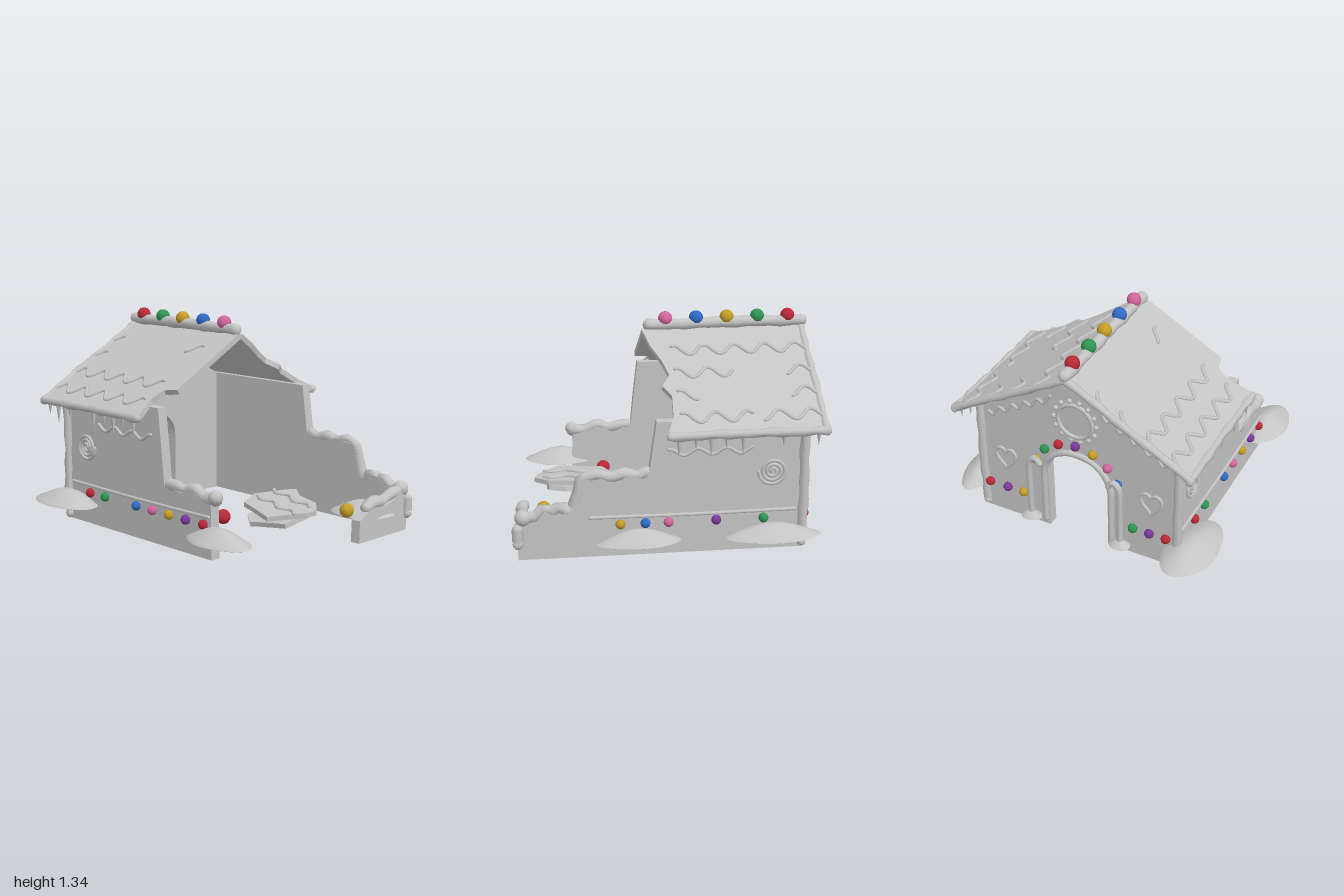
import * as THREE from 'three';
import { mergeGeometries } from 'three/addons/utils/BufferGeometryUtils.js';

const mat = (name, color) => {
  const m = new THREE.MeshStandardMaterial({ color });
  m.name = name;
  return m;
};
const V = (p) => new THREE.Vector3(p[0], p[1], p[2] || 0);

export function createModel() {
  const root = new THREE.Group();
  root.name = 'brokenCandyHouse';
  const grey = mat('paleGrey', 0xc4c4c4);
  const C = {
    red: mat('red', 0xb82a36), green: mat('green', 0x2f9452), yellow: mat('yellow', 0xc49c28),
    blue: mat('blue', 0x2f69c4), pink: mat('pink', 0xd0669c), purple: mat('purple', 0x7a379c),
  };
  const add = (parent, name, geo, material = grey) => {
    const m = new THREE.Mesh(geo, material);
    m.name = name;
    parent.add(m);
    return m;
  };
  const group = (parent, name) => {
    const g = new THREE.Group();
    g.name = name;
    parent.add(g);
    return g;
  };
  // round-ended icing rope, slightly lumpy when lump > 0
  const icing = (parent, name, pts, r, lump = 0, sides = 8) => {
    const curve = new THREE.CatmullRomCurve3(pts.map(V), false, 'catmullrom', 0.35);
    const seg = Math.max(pts.length * 2, Math.ceil(curve.getLength() / (r * 1.3)));
    const parts = [new THREE.TubeGeometry(curve, seg, r, sides)];
    for (const t of [0, 1]) {
      const s = new THREE.SphereGeometry(r, sides, 6);
      const p = curve.getPoint(t);
      parts.push(s.translate(p.x, p.y, p.z));
    }
    const geo = mergeGeometries(parts);
    const pos = geo.attributes.position, n = geo.attributes.normal;
    for (let i = 0; lump && i < pos.count; i++) {
      const x = pos.getX(i), y = pos.getY(i), z = pos.getZ(i);
      const d = r * lump * Math.sin(31 * x + 23 * y + 27 * z) * Math.cos(11 * (x - y + z));
      pos.setXYZ(i, x + n.getX(i) * d, y + n.getY(i) * d, z + n.getZ(i) * d);
    }
    return add(parent, name, geo);
  };
  const candy = (parent, color, x, y, z, r = 0.03) =>
    add(parent, color + 'Candy', new THREE.SphereGeometry(r, 16, 12), C[color]).position.set(x, y, z);
  const slab = (pts, depth, hole) => {
    const s = new THREE.Shape(pts.map((p) => new THREE.Vector2(p[0], p[1])));
    if (hole) s.holes.push(hole);
    return new THREE.ExtrudeGeometry(s, { depth, bevelEnabled: false, curveSegments: 20 });
  };
  const wave = (x0, x1, y, z, amp = 0.04, period = 0.19) => {
    const n = Math.max(4, Math.ceil((x1 - x0) / period * 8));
    return Array.from({ length: n + 1 }, (_, i) => {
      const x = x0 + (x1 - x0) * i / n;
      return [x, y + amp * Math.sin((x + 0.85) / period * Math.PI * 2), z];
    });
  };
  const spiral = (cx, cy, z) => Array.from({ length: 41 }, (_, i) => {
    const a = i / 40 * Math.PI * 6, r = 0.012 + 0.075 * i / 40;
    return [cx + r * Math.cos(a), cy + r * Math.sin(a), z];
  });

  // long walls, broken down towards the open end
  const frontWall = [[-0.78, 0], [0.57, 0], [0.565, 0.33], [0.48, 0.35], [0.4, 0.38], [0.3, 0.36],
    [0.16, 0.38], [0.14, 0.58], [0.11, 0.84], [-0.78, 0.84]];
  const backWall = [[-0.78, 0], [0.95, 0], [0.95, 0.26], [0.83, 0.27], [0.77, 0.32], [0.7, 0.33], [0.66, 0.28],
    [0.61, 0.3], [0.57, 0.5], [0.42, 0.52], [0.32, 0.5], [0.165, 0.52], [0.12, 0.84], [-0.78, 0.84]];
  add(root, 'frontWall', slab(frontWall, 0.065)).position.z = 0.605;
  add(root, 'backWall', slab(backWall, 0.065)).position.z = -0.67;
  icing(root, 'frontBrokenIcing', [[0.18, 0.385, 0.637], [0.25, 0.38, 0.637], [0.32, 0.37, 0.637],
    [0.4, 0.39, 0.637], [0.48, 0.355, 0.637], [0.57, 0.36, 0.637]], 0.035, 0.25, 10);
  icing(root, 'backBrokenIcing', [[0.18, 0.52, -0.64], [0.24, 0.5, -0.64], [0.32, 0.515, -0.64], [0.4, 0.5, -0.64],
    [0.48, 0.52, -0.64], [0.565, 0.49, -0.64], [0.59, 0.4, -0.64], [0.62, 0.3, -0.64], [0.66, 0.29, -0.64],
    [0.7, 0.33, -0.64], [0.75, 0.3, -0.64], [0.79, 0.32, -0.64], [0.85, 0.27, -0.64], [0.92, 0.27, -0.64]], 0.035, 0.25, 10);
  add(root, 'frontIcingKnob', new THREE.SphereGeometry(0.044, 14, 10)).position.set(0.57, 0.37, 0.637);
  add(root, 'backIcingKnob', new THREE.SphereGeometry(0.05, 14, 10)).position.set(0.92, 0.265, -0.65);
  icing(root, 'brokenCornerIcing', [[0.955, 0.105, -0.675], [0.955, 0.2, -0.675]], 0.033, 0.1);

  // long wall decoration
  for (const s of [1, -1]) {
    const z = s * 0.675;
    icing(root, 'wallStripe', [[-0.72, 0.255, z], [-0.1, 0.25, z], [s > 0 ? 0.55 : 0.52, 0.255, z]], 0.011);
    icing(root, 'wallSpiral', spiral(-0.58, 0.505, z), 0.011, 0, 6);
    icing(root, 'wallGarland', wave(-0.45, 0.05, 0.65, z, 0.02, 0.17), 0.011, 0, 6);
    icing(root, 'cornerIcing', [[-0.775, 0.03, s * 0.67], [-0.775, 0.8, s * 0.67]], 0.03, 0.2);
  }
  [['red', -0.545], ['green', -0.395], ['blue', -0.09], ['pink', 0.06], ['yellow', 0.21], ['purple', 0.36], ['red', 0.51]]
    .forEach(([c, x]) => candy(root, c, x, 0.207, 0.68));
  [['yellow', 0.34], ['blue', 0.19], ['pink', 0.05], ['purple', -0.24], ['green', -0.53]]
    .forEach(([c, x]) => candy(root, c, x, 0.207, -0.68));

  // door gable: local x runs along z, local z points out of the wall
  const gable = group(root, 'doorGable');
  gable.rotation.y = -Math.PI / 2;
  const wall = new THREE.Shape();
  wall.moveTo(-0.665, 0).lineTo(-0.205, 0).lineTo(-0.205, 0.44);
  wall.bezierCurveTo(-0.205, 0.56, -0.11, 0.615, 0, 0.615).bezierCurveTo(0.11, 0.615, 0.205, 0.56, 0.205, 0.44);
  wall.lineTo(0.205, 0).lineTo(0.665, 0).lineTo(0.665, 0.81).lineTo(0, 1.17).lineTo(-0.665, 0.81);
  add(gable, 'gableWall', new THREE.ExtrudeGeometry(wall, { depth: 0.07, bevelEnabled: false, curveSegments: 12 }))
    .position.z = 0.71;
  const arch = [[-0.23, 0.05, 0.785], [-0.23, 0.25, 0.785]];
  for (let i = 0; i <= 12; i++) {
    const a = Math.PI * (1 - i / 12);
    arch.push([0.23 * Math.cos(a), 0.42 + 0.215 * Math.sin(a), 0.785]);
  }
  arch.push([0.23, 0.25, 0.785], [0.23, 0.05, 0.785]);
  icing(gable, 'doorIcing', arch, 0.02, 0.15);
  ['yellow', 'green', 'red', 'purple', 'yellow', 'pink', 'blue'].forEach((c, i) => {
    const a = Math.PI * (1 - (20 + i * 23.3) / 180);
    candy(gable, c, 0.295 * Math.cos(a), 0.41 + 0.29 * Math.sin(a), 0.79);
  });
  [['red', -0.63], ['purple', -0.5], ['yellow', -0.385], ['green', 0.38], ['purple', 0.49], ['red', 0.6]]
    .forEach(([c, x]) => candy(gable, c, x, 0.207, 0.79));
  add(gable, 'wreathRing', new THREE.TorusGeometry(0.115, 0.013, 8, 32)).position.set(0, 0.88, 0.785);
  for (let i = 0; i < 14; i++) {
    const a = i / 14 * Math.PI * 2;
    add(gable, 'wreathDot', new THREE.SphereGeometry(0.016, 8, 6))
      .position.set(0.142 * Math.cos(a), 0.88 + 0.142 * Math.sin(a), 0.785);
  }
  for (const s of [1, -1]) {
    const heart = Array.from({ length: 33 }, (_, i) => {
      const t = i / 32 * Math.PI * 2;
      return [s * 0.5 + 0.07 * Math.sin(t) ** 3, 0.44 + 0.0055 * (13 * Math.cos(t) - 5 * Math.cos(2 * t)
        - 2 * Math.cos(3 * t) - Math.cos(4 * t)), 0.785];
    });
    icing(gable, 'heart', heart, 0.011, 0, 6);
    icing(gable, 'rakeGarland', wave(0.16, 0.6, 0, 0.785, 0.02, 0.09)
      .map(([x, y, z]) => [s * x, y + 1.0 - 0.55 * (x - 0.15), z]), 0.01, 0, 6);
    icing(gable, 'doorCane', [[s * 0.31, 0.09, 0.825], [s * 0.31, 0.46, 0.825], [s * 0.3, 0.52, 0.825],
      [s * 0.265, 0.545, 0.825], [s * 0.235, 0.51, 0.825]], 0.02);
  }

  // remnant of the opposite gable
  const remnant = add(root, 'gableRemnant', slab([[-0.67, 0], [-0.205, 0], [-0.21, 0.14], [-0.28, 0.18], [-0.36, 0.2],
    [-0.45, 0.19], [-0.55, 0.22], [-0.62, 0.27], [-0.67, 0.26]], 0.065));
  remnant.rotation.y = -Math.PI / 2;
  remnant.position.x = 0.955;
  icing(root, 'remnantIcing', [[0.92, 0.2, -0.31], [0.92, 0.225, -0.38], [0.92, 0.215, -0.45], [0.92, 0.24, -0.53],
    [0.92, 0.26, -0.64]], 0.036, 0.25, 10);

  // roof slopes: local y runs up the slope, local z points outwards
  const A = Math.atan(0.56), k = Math.cos(A);
  const roofEdges = {
    front: [[0.135, 0], [0.135, 0.52], [0.04, 0.54], [0.015, 0.62], [0.065, 0.78]],
    back: [[0.14, 0], [0.1, 0.13], [0.04, 0.25], [0.01, 0.35], [0.06, 0.43], [0.01, 0.5], [0.02, 0.65], [0.07, 0.78]],
  };
  const roofWaves = {
    front: [[-0.87, -0.03, 0.66], [-0.87, -0.03, 0.5], [-0.87, -0.8, 0.18], [-0.13, -0.03, 0.17], [-0.87, -0.8, 0.33]],
    back: [[-0.87, -0.52, 0.66], [-0.45, -0.03, 0.66], [-0.87, -0.72, 0.5], [-0.14, -0.03, 0.5],
      [-0.87, -0.72, 0.34], [-0.38, -0.03, 0.34], [-0.87, -0.03, 0.17]],
  };
  for (const side of ['front', 'back']) {
    const s = side === 'front' ? 1 : -1;
    const turn = group(root, side + 'Roof');
    turn.rotation.y = s > 0 ? 0 : Math.PI;
    const roof = group(turn, side + 'RoofSlope');
    roof.position.y = 1.2;
    roof.rotation.x = A - Math.PI / 2;
    const outline = [...roofEdges[side], [-0.88, 0.78], [-0.88, 0]].map(([x, d]) => [s * x, -d / k]);
    add(roof, 'roofSlab', slab(outline, 0.035));
    for (const [a, b, d] of roofWaves[side])
      icing(roof, 'roofWave', wave(a, b, -d / k, 0.037).map(([x, y, z]) => [s * x, y, z]), 0.012, 0, 6);
    icing(roof, 'rakeIcing', [[-0.875 * s, 0, 0.025], [-0.875 * s, -0.45, 0.025], [-0.875 * s, -0.885, 0.025]], 0.024, 0.25);
    icing(roof, 'eaveIcing', [[-0.875 * s, -0.885, 0.02], [-0.4 * s, -0.88, 0.02], [0.05 * s, -0.885, 0.02]], 0.026, 0.25);
    [-0.83, -0.74, -0.62, -0.38, -0.28, -0.19, -0.1, 0].forEach((x, i) => {
      const h = 0.08 + 0.025 * ((i * 2 + 1) % 4);
      const cone = add(root, 'icicle', new THREE.ConeGeometry(0.02, h, 8));
      cone.rotation.x = Math.PI;
      cone.position.set(x, 0.8 - h / 2, s * 0.77);
    });
  }
  icing(root, 'ridgeIcing', [[-0.88, 1.262, 0], [-0.4, 1.262, 0], [0.09, 1.255, 0]], 0.036, 0.2, 12);
  ['red', 'green', 'yellow', 'blue', 'pink'].forEach((c, i) => candy(root, c, -0.79 + i * 0.195, 1.295, 0, 0.045));

  // snow drifts: x, base y, z, half width, half depth, height
  [[-0.715, 0.13, 0.74, 0.285, 0.17, 0.085], [0.65, 0.13, 0.69, 0.24, 0.15, 0.085], [-0.57, 0.13, -0.78, 0.29, 0.13, 0.085],
    [0.24, 0.13, -0.78, 0.26, 0.11, 0.085], [0.78, 0.12, -0.45, 0.215, 0.18, 0.08],
    [-0.83, 0.075, 0.31, 0.055, 0.07, 0.04], [-0.83, 0.075, -0.31, 0.055, 0.07, 0.04]].forEach(([x, y, z, w, d, h], n) => {
    const prof = [[0, 0], [0.96, 0], [1, 0.04], [0.85, 0.22], [0.65, 0.5], [0.42, 0.78], [0.2, 0.96], [0, 1]];
    const geo = new THREE.LatheGeometry(prof.map((p) => new THREE.Vector2(p[0], p[1])), 28);
    const pos = geo.attributes.position;
    for (let i = 0; i < pos.count; i++) {
      const a = Math.atan2(pos.getZ(i), pos.getX(i));
      const f = 0.97 + 0.05 * Math.sin(3 * a + n) * Math.cos(a);
      pos.setXYZ(i, pos.getX(i) * f * w, pos.getY(i) * h, pos.getZ(i) * f * d);
    }
    geo.computeVertexNormals();
    add(root, 'snowDrift', geo).position.set(x, y, z);
  });

  // fallen roof pieces and loose candies
  const chunk = [[-0.1, 0.23], [0, 0.15], [0.17, 0.11], [0.26, 0.01], [0.24, -0.06], [0.1, -0.25], [-0.09, -0.18],
    [-0.19, -0.15], [-0.25, 0], [-0.15, 0.17]].reverse();
  const debris = group(root, 'fallenRoofPiece');
  debris.position.set(0.58, 0.215, 0.07);
  debris.rotation.set(0.1 - Math.PI / 2, 0.03, 0);
  add(debris, 'upperPiece', slab(chunk, 0.03));
  for (const y of [0.07, -0.07])
    icing(debris, 'pieceWave', wave(-0.19, 0.19, 0, 0.033, 0.02, 0.19).map(([x, v, z]) => [x, y + v - x * 0.25, z]), 0.014, 0, 6);
  const lower = add(root, 'lowerPiece', slab(chunk.map(([x, y]) => [x * 0.85, y * 0.85]), 0.03));
  lower.position.set(0.56, 0.15, 0.07);
  lower.rotation.set(0.2 - Math.PI / 2, -0.08, 0.5);
  candy(root, 'red', 0.37, 0.17, 0.38, 0.045);
  candy(root, 'yellow', 0.79, 0.165, -0.28, 0.045);
  return root;
}
